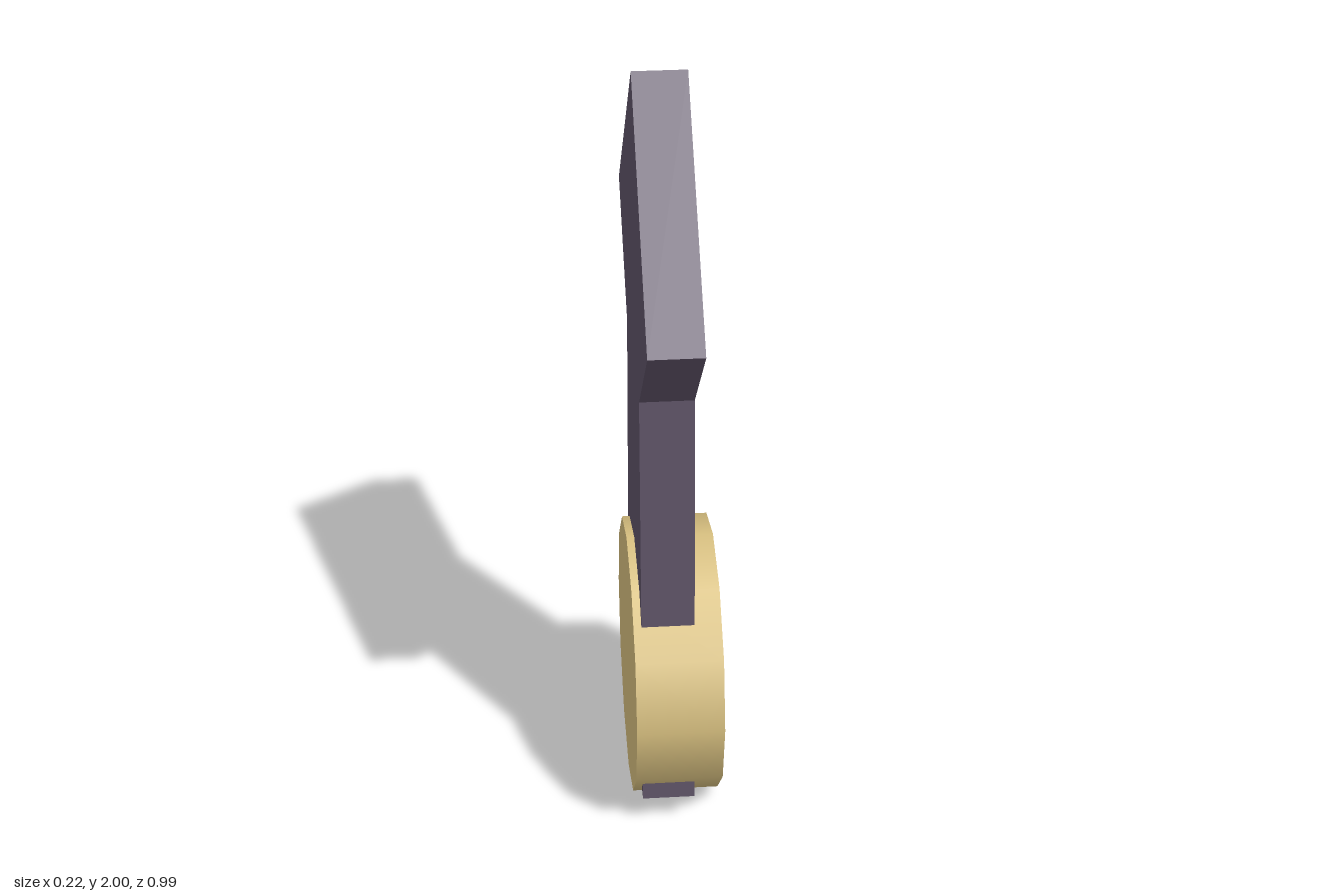
import * as THREE from 'three';

export function createModel() {
  const group = new THREE.Group();
  const purple = new THREE.MeshStandardMaterial({ color: 0x5f5468 });
  purple.name = 'dusky purple';
  const gold = new THREE.MeshStandardMaterial({ color: 0xd8c080 });
  gold.name = 'pale gold';

  // Flat plate: diamond head on a slightly flared shank, mirrored about the centre
  const half = [[0.27, 0.09], [0.213, 1.237], [0.493, 1.505]];
  const outline = [
    ...half,
    [0, 2],
    ...half.map(([x, y]) => [-x, y]).reverse(),
  ].map(([x, y]) => new THREE.Vector2(x, y));
  const plateGeometry = new THREE.ExtrudeGeometry(new THREE.Shape(outline), {
    depth: 0.134,
    bevelEnabled: false,
  });
  plateGeometry.rotateY(Math.PI / 2).translate(-0.091, 0, 0);
  const plate = new THREE.Mesh(plateGeometry, purple);
  plate.name = 'diamondHeadedPlate';

  // Twelve-sided disc around the foot of the shank, a corner pointing up
  const discGeometry = new THREE.CylinderGeometry(0.36, 0.36, 0.222, 12);
  discGeometry.rotateZ(Math.PI / 2);
  const disc = new THREE.Mesh(discGeometry, gold);
  disc.name = 'disc';
  disc.position.y = 0.36;

  group.add(plate, disc);
  return group;
}
